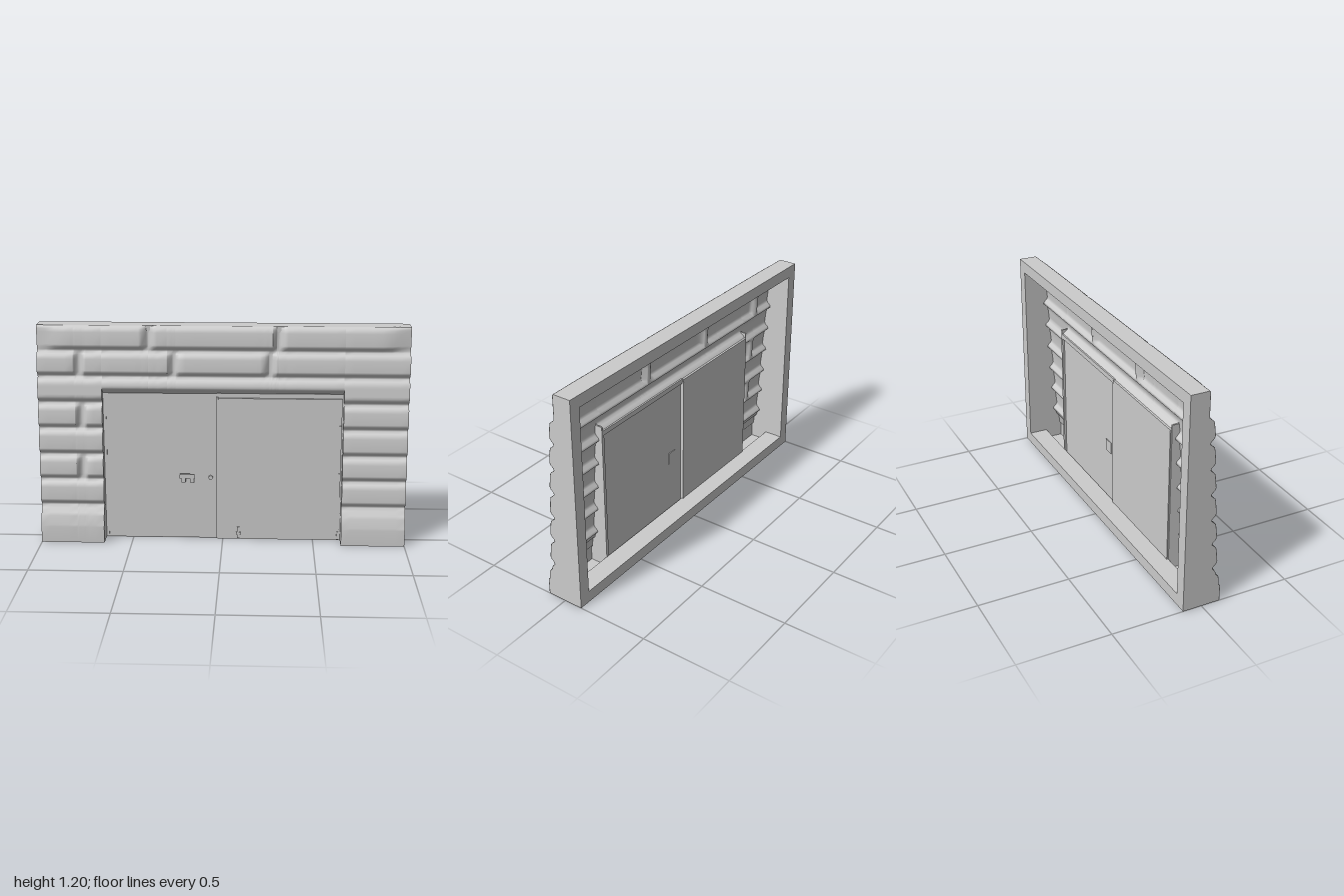
import * as THREE from 'three';

const H = 1.2, BACK = -0.105, BORDER = 0.065, OPEN_X = 0.652, OPEN_Y = 0.83;

// Front profile of the siding as [y, z]: a stepped plinth, then rounded courses leaning back
const PROFILE = [[0, 0.105], [0.09, 0.105], [0.1, 0.097], [0.15, 0.092], [0.165, 0.078], [0.19, 0.07]];
const grooveZ = y => 0.068 - 0.062 * y;
const GROOVES = [0.205, 0.35, 0.49, 0.635, 0.777, 0.92, 1.06];
GROOVES.forEach((g, i) => {
  const top = GROOVES[i + 1] ?? H + 0.005;
  const z = 0.081 - i * 0.0088;
  PROFILE.push([g, grooveZ(g)], [g + 0.012, grooveZ(g) + 0.004], [g + 0.026, z - 0.006], [g + 0.04, z],
    [top - 0.04, z - 0.007], [top - 0.022, z - 0.011], [top - 0.012, z - 0.021]);
});
PROFILE.push([H, -0.004]);

// Vertical joints: x, bottom and top of the course
const JOINTS = [[-0.4, 1.06, 1.2], [0.3, 1.06, 1.2], [-0.775, 0.92, 1.06], [-0.265, 0.92, 1.06],
  [0.255, 0.92, 1.06], [-0.765, 0.635, 0.777], [-0.765, 0.35, 0.49]];

function profileZ(y) {
  let i = 1;
  while (i < PROFILE.length - 1 && PROFILE[i][0] < y) i++;
  const [y0, z0] = PROFILE[i - 1], [y1, z1] = PROFILE[i];
  return THREE.MathUtils.lerp(z0, z1, THREE.MathUtils.clamp((y - y0) / (y1 - y0), 0, 1));
}

function wallZ(x, y) {
  let z = profileZ(y);
  // the top course fades out toward both ends
  if (y > 1.06) z = THREE.MathUtils.lerp(z, Math.min(z, 0), THREE.MathUtils.smoothstep(Math.abs(x), 0.86, 1));
  for (const [jx, y0, y1] of JOINTS) {
    const t = 1 - Math.abs(x - jx) / 0.032;
    if (t > 0 && y >= y0 && y <= y1) z = THREE.MathUtils.lerp(z, Math.min(z, grooveZ(y)), Math.min(1, t * 1.4));
  }
  // lintel curls back to the doors
  if (Math.abs(x) < OPEN_X && y < 0.88) z = THREE.MathUtils.lerp(0.005, z, THREE.MathUtils.smoothstep(y, OPEN_Y, 0.868));
  return z;
}

// Thin siding sheet over a rectangle of the wall
function sidingSheet(x0, x1, y0, y1) {
  const xs = [x0, x1], ys = [y0, y1];
  for (let x = -1; x <= 1; x += 0.05) xs.push(x);
  for (const [jx] of JOINTS) for (const d of [-0.032, -0.01, 0, 0.01, 0.032]) xs.push(jx + d);
  for (const [y] of PROFILE) ys.push(y);
  ys.push(0.842, 0.85, 0.86, 0.87);
  const clean = (a, lo, hi) => [...new Set(a.filter(v => v >= lo && v <= hi))].sort((p, q) => p - q);
  const X = clean(xs, x0, x1), Y = clean(ys, y0, y1);
  const pos = [], index = [];
  Y.forEach((y, j) => X.forEach((x, i) => {
    const mid = THREE.MathUtils.clamp(x, x0 + 1e-4, x1 - 1e-4);
    pos.push(x, y, wallZ(mid, y));
    if (i && j) {
      const d = j * X.length + i, c = d - 1, b = d - X.length, a = b - 1;
      index.push(a, b, d, a, d, c);
    }
  }));
  const geo = new THREE.BufferGeometry();
  geo.setAttribute('position', new THREE.Float32BufferAttribute(pos, 3));
  geo.setIndex(index);
  geo.computeVertexNormals();
  return geo;
}

// Upright slab whose front edge follows the siding profile
function profileSlab(x0, x1, zBack, yTop, xRef) {
  const shape = new THREE.Shape();
  shape.moveTo(zBack, 0);
  for (const [y] of PROFILE) if (y < yTop) shape.lineTo(Math.max(zBack + 0.002, wallZ(xRef, y) - 0.001), y);
  shape.lineTo(Math.max(zBack + 0.002, wallZ(xRef, yTop) - 0.001), yTop);
  shape.lineTo(zBack, yTop);
  const geo = new THREE.ExtrudeGeometry(shape, { depth: x1 - x0, bevelEnabled: false });
  return geo.rotateY(-Math.PI / 2).translate(x1, 0, 0);
}

export function createModel() {
  const model = new THREE.Group();
  const grey = new THREE.MeshStandardMaterial({ color: 0xcccccc, side: THREE.DoubleSide });
  const add = (name, geo, parent = model) => {
    const mesh = new THREE.Mesh(geo, grey);
    mesh.name = name;
    parent.add(mesh);
    return mesh;
  };
  const box = (name, x0, x1, y0, y1, z0, z1, parent) => add(name,
    new THREE.BoxGeometry(x1 - x0, y1 - y0, z1 - z0).translate((x0 + x1) / 2, (y0 + y1) / 2, (z0 + z1) / 2), parent);

  // Back frame, open in the middle
  const frame = new THREE.Group();
  frame.name = 'frame';
  model.add(frame);
  add('leftFramePost', profileSlab(1 - BORDER, 1, BACK, H, 1), frame);
  add('rightFramePost', profileSlab(-1, -1 + BORDER, BACK, H, -1), frame);
  box('frameTop', -1 + BORDER, 1 - BORDER, H - BORDER, H, BACK, -0.004, frame);
  box('frameSill', -1 + BORDER, 1 - BORDER, 0, BORDER, BACK, 0.002, frame);

  // Siding: a pillar at each side and the courses above the doors
  const siding = new THREE.Group();
  siding.name = 'siding';
  model.add(siding);
  add('leftPillar', sidingSheet(OPEN_X, 1, 0, OPEN_Y), siding);
  add('rightPillar', sidingSheet(-1, -OPEN_X, 0, OPEN_Y), siding);
  add('leftUpperCourses', sidingSheet(OPEN_X, 1, OPEN_Y, H), siding);
  add('upperCourses', sidingSheet(-OPEN_X, OPEN_X, OPEN_Y, H), siding);
  add('rightUpperCourses', sidingSheet(-1, -OPEN_X, OPEN_Y, H), siding);
  for (const s of [-1, 1]) {
    const a = s * OPEN_X, b = s * (OPEN_X + 0.008);
    add('jamb', profileSlab(Math.min(a, b), Math.max(a, b), 0, 0.86, s * 0.7), siding);
    const c = s * (1 - BORDER);
    box('pillarFoot', Math.min(a, c), Math.max(a, c), 0, 0.01, 0, 0.104, siding);
  }

  // Double doors, the left leaf standing a little proud
  const doors = new THREE.Group();
  doors.name = 'doors';
  model.add(doors);
  box('rightDoor', -OPEN_X, -0.025, 0, 0.832, -0.006, 0.006, doors);
  box('leftDoor', -0.03, 0.645, 0.004, 0.81, 0.012, 0.024, doors);
  box('doorSeam', -0.034, -0.024, 0.004, 0.815, -0.008, 0.025, doors);
  box('doorHead', -0.03, OPEN_X, 0.808, 0.835, 0, 0.012, doors);
  box('leftDoorStop', 0.643, OPEN_X, 0, 0.83, 0, 0.016, doors);
  box('leftDoorThreshold', -0.03, OPEN_X, 0, 0.006, 0, 0.02, doors);

  // Hinges
  for (const y of [0.05, 0.51, 0.72]) box('rightHinge', -0.65, -0.636, y - 0.035, y + 0.035, 0.004, 0.012, doors);
  for (const y of [0.03, 0.37, 0.64]) box('leftHinge', 0.632, 0.642, y - 0.022, y + 0.022, 0.02, 0.028, doors);

  // Pull handle, lock, plate and floor bolt
  const pull = new THREE.Group();
  pull.name = 'pullHandle';
  doors.add(pull);
  box('pullBar', -0.235, -0.155, 0.362, 0.384, 0.034, 0.05, pull);
  for (const x of [-0.215, -0.167]) box('pullLeg', x - 0.011, x + 0.011, 0.336, 0.366, 0.004, 0.046, pull);
  add('lock', new THREE.CylinderGeometry(0.012, 0.012, 0.016, 16).rotateX(Math.PI / 2).translate(-0.067, 0.356, 0.008), doors);
  box('lockPlate', 0.03, 0.088, 0.345, 0.415, 0.008, 0.027, doors);
  box('floorBolt', 0.08, 0.094, 0.01, 0.075, 0.02, 0.032, doors);
  box('boltKnob', 0.074, 0.1, 0.03, 0.045, 0.02, 0.036, doors);

  return model;
}
